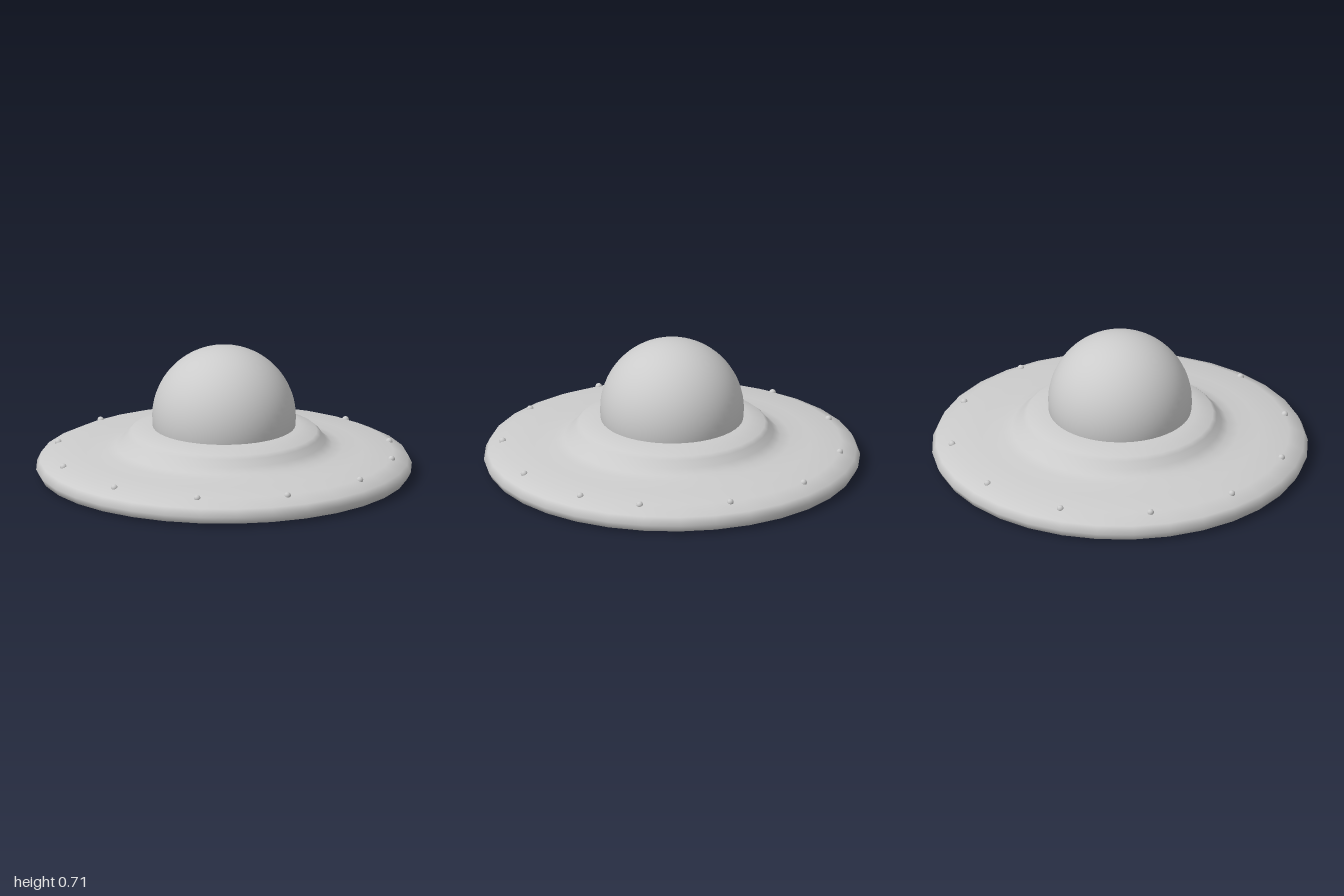
import * as THREE from 'three';

export function createModel() {
  const group = new THREE.Group();
  const material = new THREE.MeshStandardMaterial({ color: 0xcccccc });
  const add = (name, geometry, x = 0, y = 0, z = 0) => {
    const mesh = new THREE.Mesh(geometry, material);
    mesh.name = name;
    mesh.position.set(x, y, z);
    group.add(mesh);
  };

  // Saucer: flat underside, rounded rim, shallow upper deck and raised collar
  const profile = [
    [0, 0], [0.72, 0.002], [0.95, 0.006], [0.98, 0.012], [1, 0.05], [0.98, 0.092],
    [0.9, 0.13], [0.74, 0.143], [0.63, 0.156], [0.575, 0.168], [0.54, 0.195],
    [0.515, 0.23], [0.495, 0.248], [0.41, 0.275], [0.3, 0.276], [0, 0.276],
  ].map(([r, y]) => new THREE.Vector2(r, y));
  add('saucerHull', new THREE.LatheGeometry(profile, 32));

  // Dome sunk slightly below its equator into the collar
  add('dome', new THREE.SphereGeometry(0.382, 48, 24, 0, Math.PI * 2, 0, Math.PI * 0.56), 0, 0.325, 0);

  // Rim studs, unevenly spaced around the deck (degrees from +x towards +z)
  const studGeometry = new THREE.SphereGeometry(0.018, 16, 10);
  const studAngles = [-93.5, -62.7, -31.6, -9.8, 18.2, 49.5, 80.6, 111.8, 142.9, 173.8, 204.8, 235.6];
  for (const degrees of studAngles) {
    const a = THREE.MathUtils.degToRad(degrees);
    add('rimStud', studGeometry, 0.9 * Math.cos(a), 0.127, 0.9 * Math.sin(a));
  }
  return group;
}
